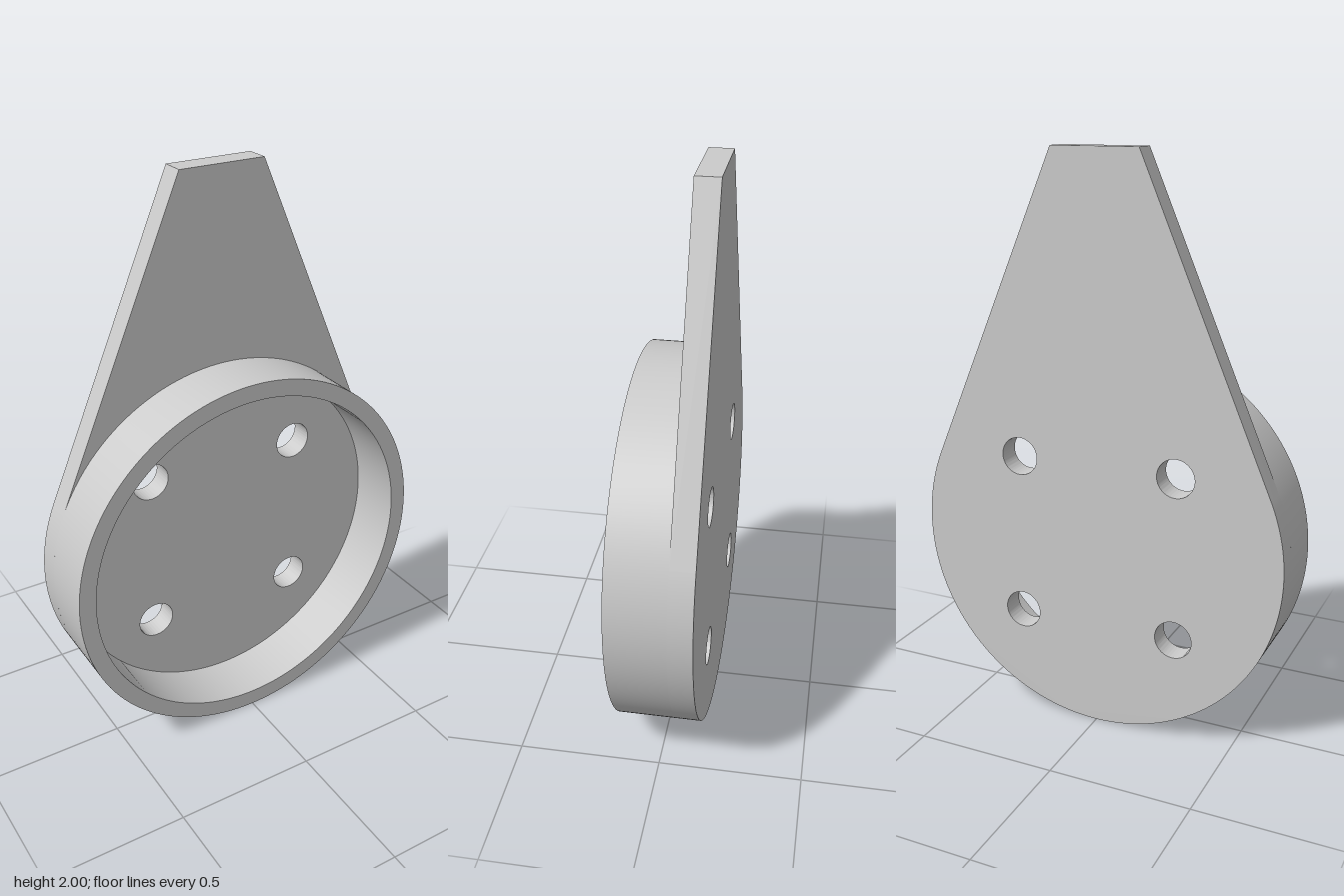
import * as THREE from 'three';
import { toCreasedNormals } from 'three/addons/utils/BufferGeometryUtils.js';

const R = 0.667;          // disc radius, also the height of its centre
const INNER = 0.607;      // inner radius of the rim
const BACK = -0.143, FLOOR = -0.06, FRONT = 0.143;
const TIP = 0.153;        // half width of the tongue's flat end

const material = new THREE.MeshStandardMaterial({ color: 0xcccccc });

function circleHole(x, y, r) {
  return new THREE.Path().absarc(x, y, r, 0, Math.PI * 2, true);
}

function extruded(name, shape, z0, z1) {
  const geometry = new THREE.ExtrudeGeometry(shape, {
    depth: z1 - z0, bevelEnabled: false, curveSegments: 96,
  });
  geometry.translate(0, 0, z0);
  const mesh = new THREE.Mesh(toCreasedNormals(geometry, Math.PI / 6), material);
  mesh.name = name;
  return mesh;
}

export function createModel() {
  const group = new THREE.Group();
  group.name = 'mountingBracket';

  // Back plate: disc whose tangents run up to a narrow flat end
  const rise = 2 - R;
  const tangent = Math.atan2(rise, TIP) - Math.acos(R / Math.hypot(TIP, rise));
  const plate = new THREE.Shape();
  plate.moveTo(TIP, 2);
  plate.lineTo(-TIP, 2);
  plate.absarc(0, R, R, Math.PI - tangent, Math.PI * 2 + tangent, false);
  plate.closePath();

  // Four screw holes in a square
  for (const sx of [-1, 1]) {
    for (const sy of [-1, 1]) {
      plate.holes.push(circleHole(sx * 0.29, R + sy * 0.29, 0.067));
    }
  }
  group.add(extruded('backPlate', plate, BACK, FLOOR));

  // Raised rim around the front of the disc
  const rim = new THREE.Shape().absarc(0, R, R, 0, Math.PI * 2, false);
  rim.holes.push(circleHole(0, R, INNER));
  group.add(extruded('rim', rim, FLOOR, FRONT));

  return group;
}
